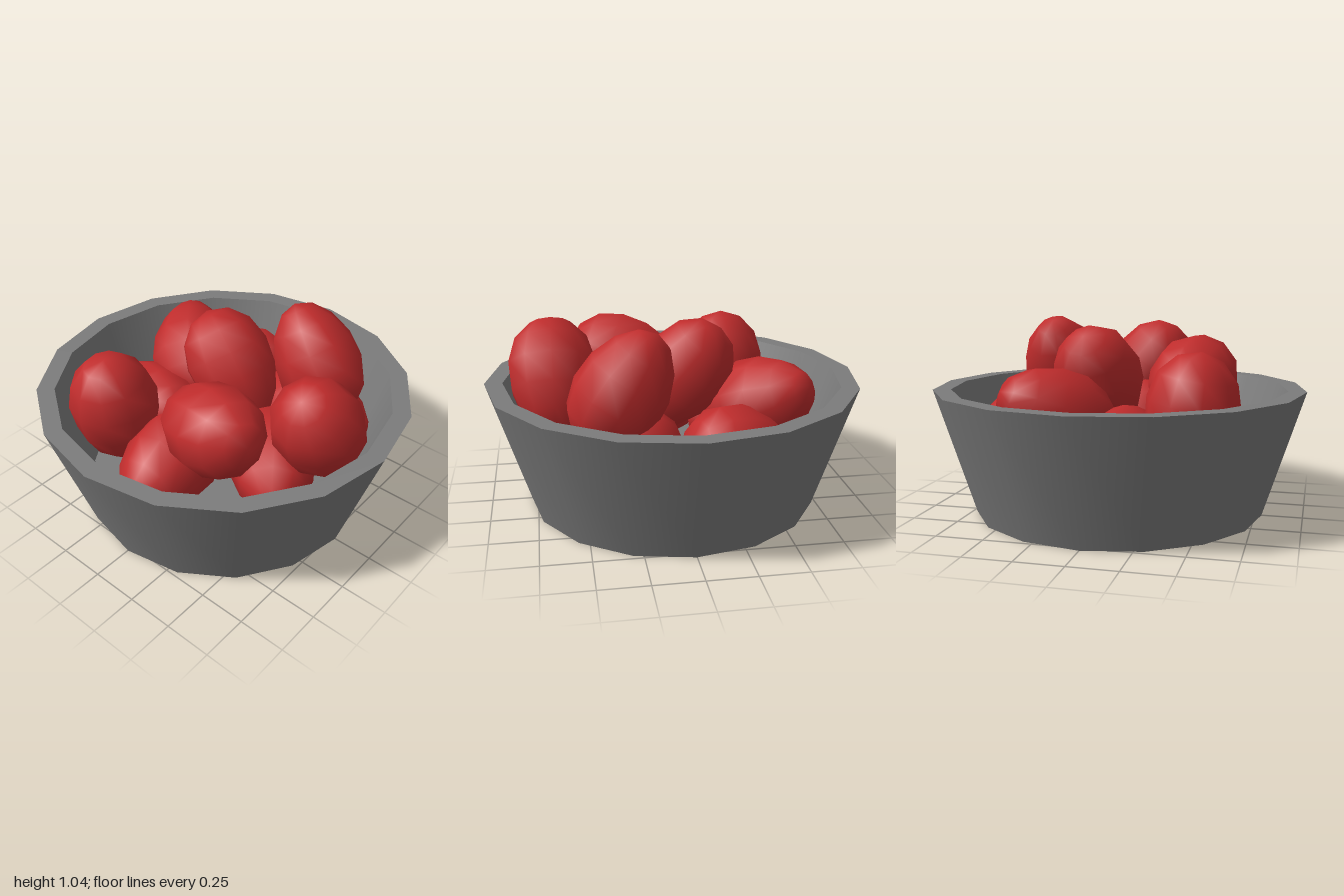
import * as THREE from 'three';
import { mergeVertices } from 'three/addons/utils/BufferGeometryUtils.js';

const SIDES = 16;

// Hard-edged bowl: each band of the profile is its own smooth lathe
function makeBowl(material) {
  const bowl = new THREE.Group();
  bowl.name = 'bowl';
  const profile = [[0, 0], [0.785, 0], [1, 0.675], [0.905, 0.675], [0.74, 0.16], [0, 0.16]];
  const names = ['base', 'outerWall', 'rim', 'innerWall', 'floor'];
  names.forEach((name, i) => {
    const points = [profile[i], profile[i + 1]].map(([r, y]) => new THREE.Vector2(r, y));
    const mesh = new THREE.Mesh(new THREE.LatheGeometry(points, SIDES), material);
    mesh.name = name;
    bowl.add(mesh);
  });
  return bowl;
}

// Low-poly smooth egg along y, slightly narrower at the upper end
function makeEggGeometry(halfLength, radius, taper) {
  const sphere = new THREE.SphereGeometry(1, 10, 7);
  sphere.deleteAttribute('uv');
  sphere.deleteAttribute('normal');
  const geometry = mergeVertices(sphere, 1e-4);
  const p = geometry.attributes.position;
  for (let i = 0; i < p.count; i++) {
    const y = p.getY(i);
    const r = radius * (1 - taper * y);
    p.setXYZ(i, p.getX(i) * r, y * halfLength, p.getZ(i) * r);
  }
  geometry.computeVertexNormals();
  return geometry;
}

export function createModel() {
  const model = new THREE.Group();
  model.name = 'bowlOfEggs';
  const grey = new THREE.MeshStandardMaterial({ color: 0x7c7c7c });
  const red = new THREE.MeshStandardMaterial({ color: 0xc02c2c });
  model.add(makeBowl(grey));

  // Centre of each egg and the direction of its narrow end
  const eggs = [
    // lower layer
    [[0.47, 0.40, -0.28], [-0.37, -0.35, -0.85]],
    [[-0.46, 0.42, 0.02], [-1, -0.1, 0.1]],
    [[0.41, 0.41, 0.33], [0, -0.1, 1]],
    [[-0.10, 0.42, 0.42], [-0.78, -0.1, 0.58]],
    [[-0.10, 0.39, -0.43], [0.3, -0.1, -0.95]],
    // upper layer
    [[-0.455, 0.58, -0.375], [0.15, -1, 0]],
    [[0.22, 0.58, -0.43], [0.65, 0.4, -0.6]],
    [[0.10, 0.71, -0.03], [-0.1, -0.75, 0.62]],
    [[-0.36, 0.69, 0.22], [0.25, -0.25, -0.9]],
    [[-0.02, 0.69, 0.64], [0.55, -0.83, 0]],
    [[0.415, 0.74, 0.31], [0.03, 0.84, -0.54]],
  ];
  const eggGeometry = makeEggGeometry(0.33, 0.238, 0.12);
  const up = new THREE.Vector3(0, 1, 0);
  const pile = new THREE.Group();
  pile.name = 'eggs';
  eggs.forEach(([centre, axis], i) => {
    const egg = new THREE.Mesh(eggGeometry, red);
    egg.name = `egg${i + 1}`;
    egg.position.set(...centre);
    egg.quaternion.setFromUnitVectors(up, new THREE.Vector3(...axis).normalize());
    pile.add(egg);
  });
  model.add(pile);
  return model;
}
